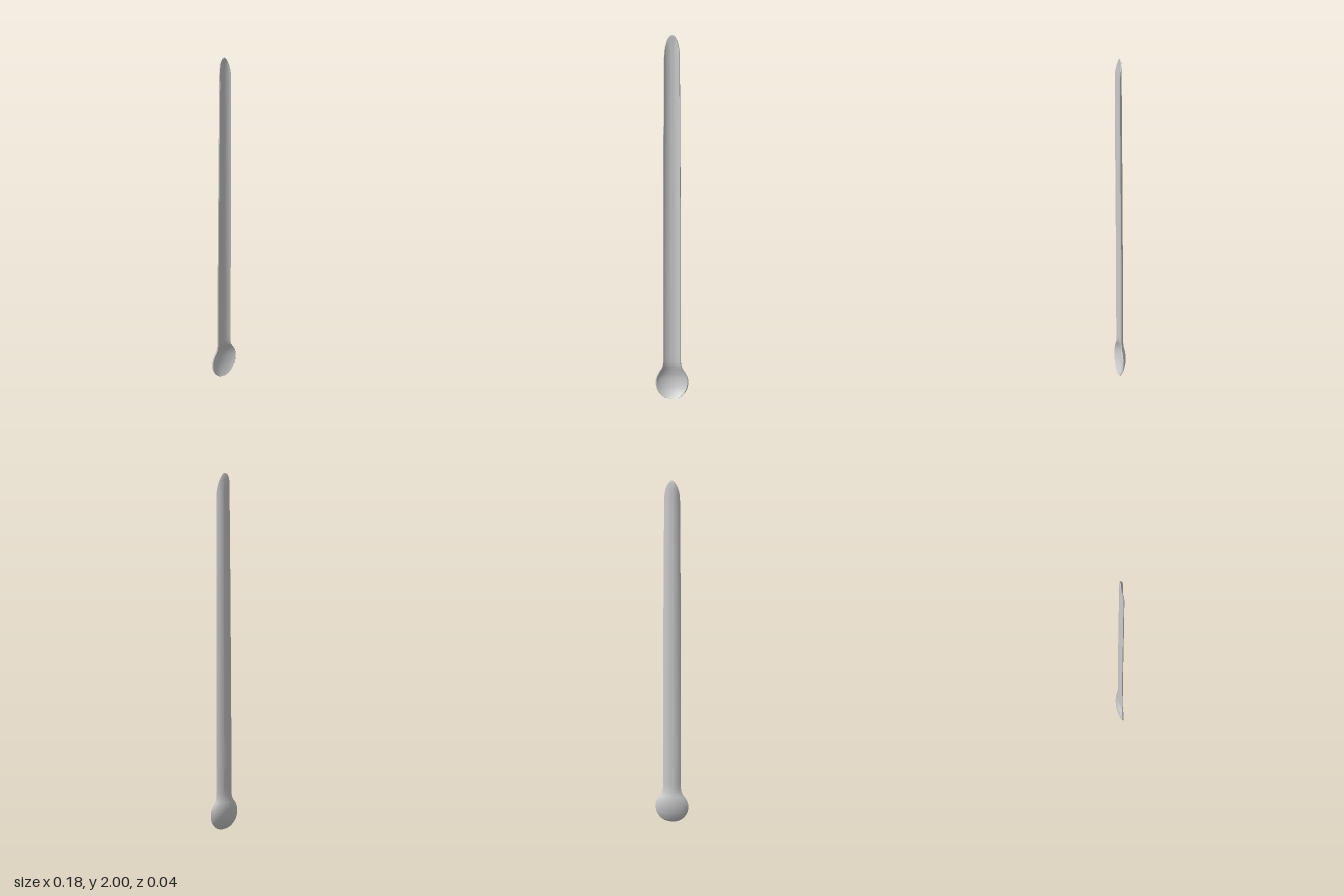
import * as THREE from 'three';
import { toCreasedNormals } from 'three/addons/utils/BufferGeometryUtils.js';

// Stations from the bowl's lip to the handle's tip:
// [height, half width, z of the back's spine, z of the back's edge, wall]
const STATIONS = [
  [0, 0, 0.015, 0.015, 0.003],
  [0.007, 0.036, 0.010, 0.014, 0.003],
  [0.026, 0.063, -0.001, 0.011, 0.004],
  [0.055, 0.083, -0.013, 0.009, 0.005],
  [0.09, 0.09, -0.021, 0.007, 0.006],
  [0.12, 0.086, -0.023, 0.006, 0.006],
  [0.145, 0.074, -0.021, 0.005, 0.007],
  [0.165, 0.06, -0.017, 0.005, 0.007],
  [0.185, 0.052, -0.014, 0.005, 0.008],
  [0.22, 0.05, -0.012, 0.006, 0.008],
  [0.32, 0.05, -0.012, 0.006, 0.008],
  [0.55, 0.05, -0.011, 0.007, 0.008],
  [0.9, 0.049, -0.010, 0.009, 0.008],
  [1.3, 0.048, -0.008, 0.012, 0.008],
  [1.65, 0.046, -0.006, 0.014, 0.008],
  [1.82, 0.045, -0.005, 0.015, 0.008],
  [1.89, 0.044, -0.005, 0.014, 0.008],
  [1.93, 0.040, -0.005, 0.010, 0.008],
  [1.965, 0.031, -0.004, 0.003, 0.008],
  [1.985, 0.021, -0.002, 0.001, 0.007],
  [1.996, 0.011, 0, 0.001, 0.006],
  [2, 0, 0.001, 0.001, 0.005],
];

// Rise of a shallow circular arc, 0 in the middle and 1 at the edge
const arc = (u) => (1 - Math.sqrt(1 - 0.72 * u * u)) / (1 - Math.sqrt(0.28));

// Closed, gutter-shaped cross-sections joined along the height
function createShell(rows, half) {
  const column = (a, b) =>
    new THREE.SplineCurve(STATIONS.map((s) => new THREE.Vector2(s[a], s[b])));
  const outline = column(0, 1), depth = column(2, 3), wall = column(0, 4);
  const pos = [], index = [], ring = 2 * (half + 1);

  for (let i = 0; i <= rows; i++) {
    const t = i / rows;
    const { x: y, y: w } = outline.getPoint(t);
    const { x: spine, y: edge } = depth.getPoint(t);
    const thick = wall.getPoint(t).y;
    for (let j = 0; j < ring; j++) {
      const front = j > half;
      const u = ((front ? ring - 1 - j : j) / half) * 2 - 1;
      const z = spine + (edge - spine) * arc(u);
      // the wall thins towards its edges
      const x = w * u * (front ? 0.94 : 1);
      pos.push(x, y, z + (front ? thick * (1 - 0.4 * u * u) : 0));
    }
  }
  for (let i = 0; i < rows; i++) {
    for (let j = 0; j < ring; j++) {
      const k = (j + 1) % ring;
      const a = i * ring + j, b = i * ring + k;
      index.push(a, a + ring, b, b, a + ring, b + ring);
    }
  }
  const geometry = new THREE.BufferGeometry();
  geometry.setAttribute('position', new THREE.Float32BufferAttribute(pos, 3));
  geometry.setIndex(index);
  return toCreasedNormals(geometry, 0.8);
}

export function createModel() {
  const group = new THREE.Group();
  group.name = 'longScoop';
  // Bowl and gutter handle flow into each other as one piece
  const body = new THREE.Mesh(
    createShell((STATIONS.length - 1) * 5, 20),
    new THREE.MeshStandardMaterial({ color: 0xcccccc, side: THREE.DoubleSide })
  );
  body.name = 'bowlAndHandle';
  group.add(body);
  return group;
}
